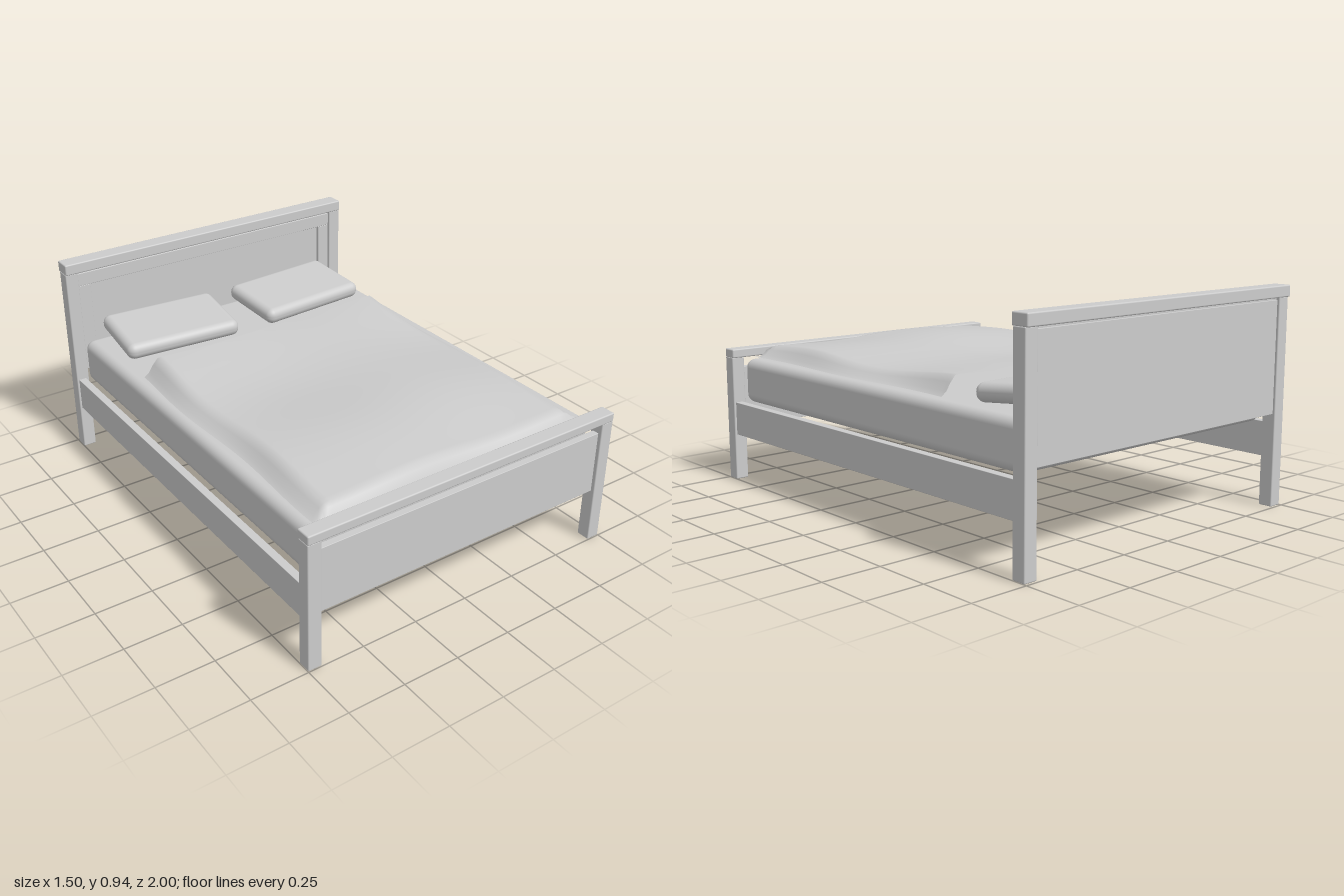
import * as THREE from 'three';
import { RoundedBoxGeometry } from 'three/addons/geometries/RoundedBoxGeometry.js';

const paint = new THREE.MeshStandardMaterial({ color: 0xcccccc });
paint.name = 'lightGrey';
const cloth = new THREE.MeshStandardMaterial({ color: 0xcccccc, side: THREE.DoubleSide });
cloth.name = 'lightGreyCloth';

// Box given by its limits on each axis, with softly rounded edges
function block(group, name, [x0, x1], [y0, y1], [z0, z1], radius = 0.005, segments = 2) {
  const geo = new RoundedBoxGeometry(x1 - x0, y1 - y0, z1 - z0, segments, radius);
  const mesh = new THREE.Mesh(geo, paint);
  mesh.name = name;
  mesh.position.set((x0 + x1) / 2, (y0 + y1) / 2, (z0 + z1) / 2);
  group.add(mesh);
  return mesh;
}

// Wavy blanket whose sides and foot edge drape down onto the mattress
function blanketGeometry() {
  const geo = new THREE.PlaneGeometry(2, 2, 56, 56);
  geo.rotateX(-Math.PI / 2);
  const pos = geo.attributes.position;
  const hem = 0.565;
  for (let i = 0; i < pos.count; i++) {
    const u = pos.getX(i), v = pos.getZ(i);
    const z = 0.2425 + v * 0.6675;
    const x = u * (0.648 + 0.009 * Math.sin(7 * z + (u > 0 ? 0 : 2)));
    const top = 0.622 + 0.013 * Math.cos(6.2 * (z - 0.53))
      + 0.007 * Math.sin(5 * x + 3 * z) + 0.004 * Math.sin(9 * x - 4 * z);
    const side = THREE.MathUtils.smoothstep(Math.abs(u), 0.88, 1);
    const foot = THREE.MathUtils.smoothstep(v, 0.95, 1);
    const drop = Math.max(side, foot);
    pos.setXYZ(i, x, THREE.MathUtils.lerp(top, hem, drop), z);
  }
  geo.computeVertexNormals();
  return geo;
}

export function createModel() {
  const bed = new THREE.Group();
  bed.name = 'bed';

  // Headboard and footboard
  const headboard = new THREE.Group();
  headboard.name = 'headboard';
  block(headboard, 'headPanel', [-0.69, 0.69], [0.4, 0.88], [-0.98, -0.955], 0.002);
  block(headboard, 'headFrameTop', [-0.69, 0.69], [0.82, 0.88], [-0.96, -0.938], 0.002);
  block(headboard, 'headCap', [-0.75, 0.75], [0.89, 0.94], [-1, -0.92], 0.006);
  block(headboard, 'headTopRail', [-0.69, 0.69], [0.875, 0.895], [-0.975, -0.945], 0.002);

  const footboard = new THREE.Group();
  footboard.name = 'footboard';
  block(footboard, 'footPanel', [-0.69, 0.69], [0.24, 0.52], [0.952, 0.982], 0.002);
  block(footboard, 'footCap', [-0.75, 0.75], [0.565, 0.605], [0.932, 1], 0.006);

  // Posts, frame uprights and side rails, mirrored
  for (const s of [-1, 1]) {
    const span = (a, b) => (s > 0 ? [a, b] : [-b, -a]);
    block(headboard, 'headPost', span(0.69, 0.75), [0, 0.892], [-0.99, -0.927]);
    block(headboard, 'headFrameSide', span(0.63, 0.69), [0.4, 0.82], [-0.96, -0.938], 0.002);
    block(footboard, 'footPost', span(0.69, 0.75), [0, 0.568], [0.938, 0.998]);
    block(bed, 'sideRail', span(0.705, 0.74), [0.21, 0.36], [-0.93, 0.94], 0.002);
  }
  bed.add(headboard, footboard);

  // Bedding
  block(bed, 'mattress', [-0.7, 0.7], [0.36, 0.56], [-0.92, 0.925], 0.04, 4);
  for (const s of [-1, 1]) {
    const pillow = block(bed, 'pillow', [-0.275, 0.275], [-0.038, 0.038], [-0.17, 0.17], 0.035, 4);
    pillow.position.set(s * 0.342, 0.615, -0.73);
    pillow.rotation.set(0.09, s * 0.077, 0, 'YXZ');
  }
  const blanket = new THREE.Mesh(blanketGeometry(), cloth);
  blanket.name = 'blanket';
  bed.add(blanket);

  return bed;
}
